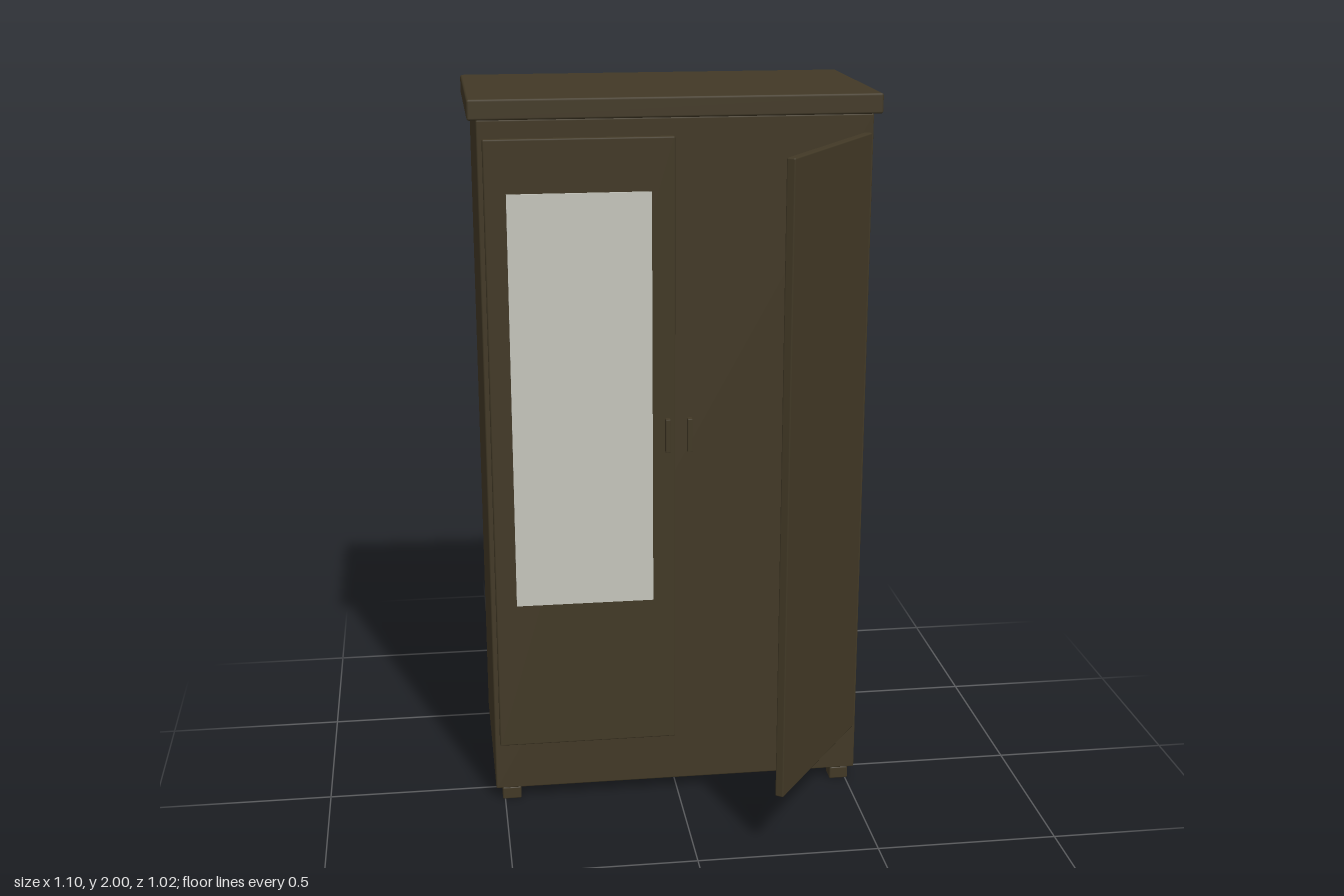
import * as THREE from 'three';
import { RoundedBoxGeometry } from 'three/addons/geometries/RoundedBoxGeometry.js';

const wood = new THREE.MeshStandardMaterial({ color: 0x423926 });
wood.name = 'dark wood';
const glass = new THREE.MeshStandardMaterial({ color: 0xc6c6bd });
glass.name = 'mirror glass';

// Box with slightly eased edges, given by its minimum and maximum corners
function block(name, min, max, ease = 0.004) {
  const size = max.map((v, i) => v - min[i]);
  const mesh = new THREE.Mesh(new RoundedBoxGeometry(...size, 1, ease), wood);
  mesh.position.set(...min.map((v, i) => (v + max[i]) / 2));
  mesh.name = name;
  return mesh;
}

export function createModel() {
  const wardrobe = new THREE.Group();
  wardrobe.name = 'wardrobe';

  // Carcass and overhanging top
  wardrobe.add(block('cabinetBody', [-0.525, 0.035, -0.49], [0.525, 1.946, 0.08]));
  wardrobe.add(block('topBoard', [-0.548, 1.946, -0.51], [0.548, 2, 0.09], 0.006));

  // Four feet, and a pair of handles
  for (const side of [-1, 1]) {
    for (const z of [-0.464, 0.054]) {
      const x = side * 0.48;
      wardrobe.add(block('foot', [x - 0.027, 0, z - 0.026], [x + 0.027, 0.037, z + 0.026]));
    }
    const x = side * 0.03;
    wardrobe.add(block('handle', [x - 0.007, 1.04, 0.1], [x + 0.007, 1.135, 0.12], 0.002));
  }

  // Closed door with its mirror
  wardrobe.add(block('closedDoor', [-0.511, 0.178, 0.075], [-0.008, 1.898, 0.099]));
  const mirror = new THREE.Mesh(new THREE.BoxGeometry(0.382, 1.15, 0.006), glass);
  mirror.position.set(-0.262, 1.181, 0.102);
  mirror.name = 'mirror';
  wardrobe.add(mirror);

  // Open door, swung out on its hinge
  const hinge = new THREE.Group();
  hinge.name = 'openDoorHinge';
  hinge.position.set(0.508, 0, 0.09);
  hinge.rotation.y = THREE.MathUtils.degToRad(55);
  hinge.add(block('openDoor', [-0.503, 0.178, -0.012], [0, 1.898, 0.012]));
  wardrobe.add(hinge);

  return wardrobe;
}
